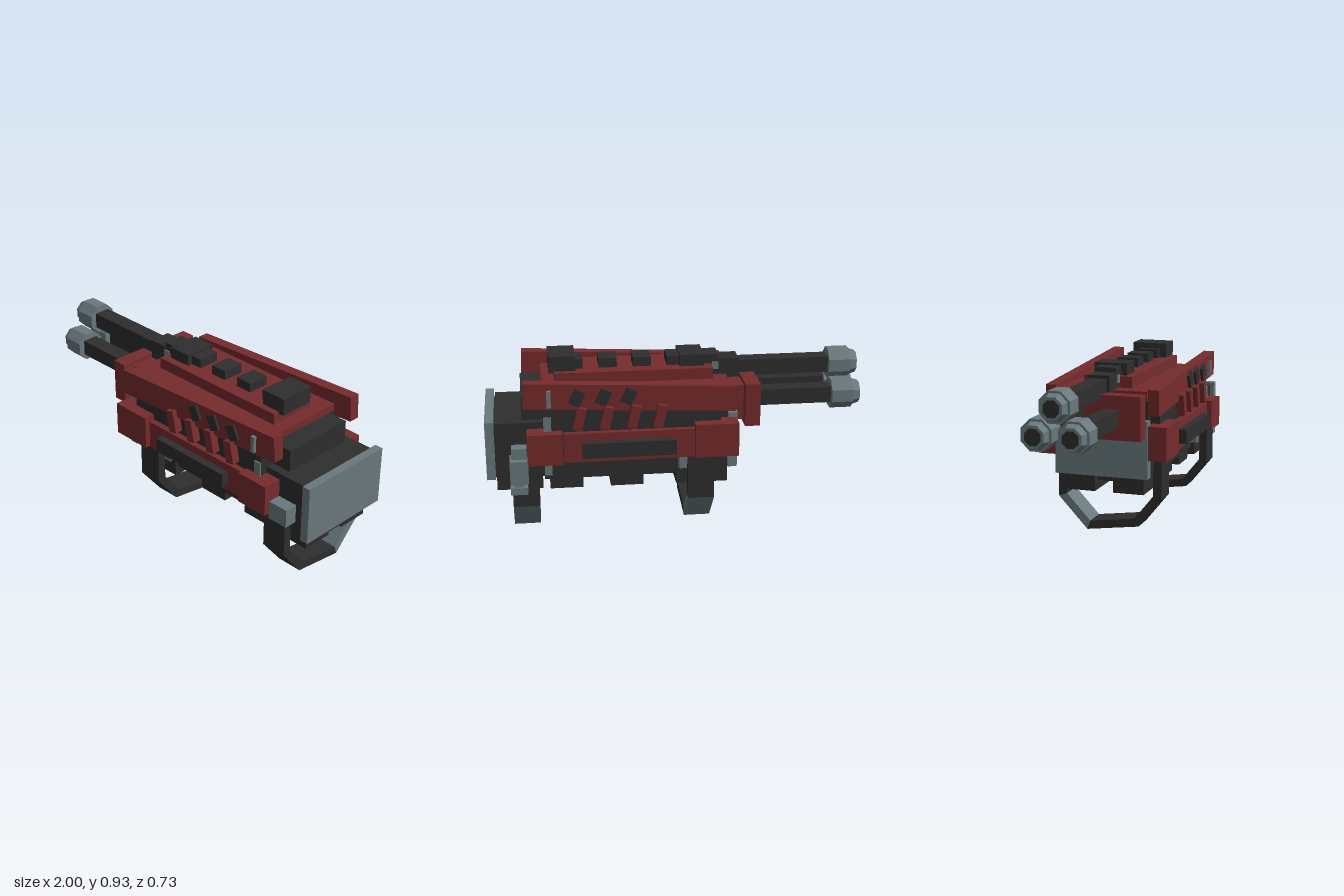
import * as THREE from 'three';

export function createModel() {
  const model = new THREE.Group();
  const mat = (name, color) => {
    const m = new THREE.MeshStandardMaterial({ color, flatShading: true });
    m.name = name;
    return m;
  };
  const dark = mat('charcoal', 0x2e2e2e);
  const red = mat('dull red', 0x762c2d);
  const grey = mat('steel grey', 0x6a797d);

  // Box from its extents on each axis
  const box = (name, m, x0, x1, y0, y1, z0, z1, tilt = 0) => {
    const mesh = new THREE.Mesh(new THREE.BoxGeometry(x1 - x0, y1 - y0, z1 - z0), m);
    mesh.position.set((x0 + x1) / 2, (y0 + y1) / 2, (z0 + z1) / 2);
    mesh.rotation.z = tilt;
    mesh.name = name;
    model.add(mesh);
    return mesh;
  };
  // The same box on both sides
  const pair = (name, m, x0, x1, y0, y1, z0, z1, tilt = 0) => {
    box(name + 'Left', m, x0, x1, y0, y1, z0, z1, tilt);
    box(name + 'Right', m, x0, x1, y0, y1, -z1, -z0, tilt);
  };

  // Three barrels with muzzles
  for (const [y, z] of [[0.815, 0], [0.675, 0.095], [0.675, -0.095]]) {
    box('barrel', dark, -0.88, -0.2, y - 0.043, y + 0.043, z - 0.045, z + 0.045);
    const prism = (name, m, r0, r1, x0, x1) => {
      const g = new THREE.CylinderGeometry(r1, r0, x1 - x0, 8);
      g.rotateY(Math.PI / 8);
      g.rotateZ(-Math.PI / 2);
      const p = new THREE.Mesh(g, m);
      p.position.set((x0 + x1) / 2, y, z);
      p.name = name;
      model.add(p);
    };
    prism('muzzleBlock', grey, 0.085, 0.085, -0.955, -0.84);
    prism('muzzleTip', grey, 0.06, 0.073, -0.997, -0.955);
    prism('bore', dark, 0.045, 0.045, -1.0, -0.99);
  }

  // Front bracket and plate
  box('frontBracket', red, -0.435, -0.355, 0.56, 0.79, -0.255, 0.255);
  box('bracketNeck', red, -0.355, -0.26, 0.58, 0.77, -0.2, 0.2);
  box('frontPlate', grey, -0.315, -0.265, 0.335, 0.64, -0.255, 0.255);

  // Main body
  box('bodyCore', dark, -0.265, 0.7, 0.43, 0.75, -0.24, 0.24);
  pair('bodySide', dark, -0.22, 0.7, 0.45, 0.75, 0.24, 0.292);
  box('topCover', red, -0.28, 0.7, 0.74, 0.79, -0.24, 0.24);
  box('topRidge', red, -0.2, 0.63, 0.79, 0.85, -0.133, 0.133);

  // Rear housing and end plate
  box('rearHousing', dark, 0.7, 0.95, 0.33, 0.63, -0.25, 0.25);
  box('rearStep', dark, 0.7, 0.81, 0.63, 0.75, -0.205, 0.205);
  box('endPlate', grey, 0.955, 1.0, 0.33, 0.645, -0.272, 0.272);
  box('endPlateSeat', dark, 0.94, 0.96, 0.36, 0.61, -0.22, 0.22);

  // Blocks along the top
  box('topCollar', dark, -0.35, -0.16, 0.77, 0.875, -0.06, 0.06);
  box('collarStep', dark, -0.24, -0.15, 0.85, 0.9, -0.058, 0.058);
  box('collarPin', grey, -0.24, -0.205, 0.82, 0.86, -0.068, 0.068);
  box('frontSight', dark, -0.16, -0.03, 0.84, 0.912, -0.09, 0.09);
  for (const [x0, x1] of [[-0.03, 0.035], [0.12, 0.215], [0.3, 0.395], [0.48, 0.56]])
    box('topStud', dark, x0, x1, 0.84, 0.9, -0.06, 0.06);
  box('rearSight', dark, 0.52, 0.66, 0.84, 0.93, -0.098, 0.098);

  // Sloping side rails with slats
  pair('sideRail', red, -0.298, 0.8, 0.696, 0.832, 0.25, 0.31, 0.05);
  for (const x of [0.26, 0.39, 0.525])
    pair('railSlat', dark, x - 0.029, x + 0.029, 0.735, 0.817, 0.3, 0.325, 0.44);
  for (const x of [0.1, 0.235, 0.375, 0.515])
    pair('sideSlat', red, x - 0.025, x + 0.025, 0.605, 0.725, 0.285, 0.336, 0.22);
  pair('railPin', grey, 0.658, 0.68, 0.73, 0.82, 0.3, 0.327);
  pair('bodyPin', grey, 0.66, 0.7, 0.58, 0.67, 0.28, 0.3);

  // Lower side armour
  pair('lowerBar', red, -0.08, 0.6, 0.43, 0.585, 0.25, 0.325);
  pair('lowerFrontBlock', red, -0.308, -0.08, 0.435, 0.615, 0.25, 0.355);
  pair('lowerRearBlock', red, 0.605, 0.787, 0.428, 0.595, 0.25, 0.352);
  pair('gripPanel', dark, 0.02, 0.505, 0.463, 0.543, 0.32, 0.367);

  // Rear side fittings, different on each side
  box('leftFitting', grey, 0.785, 0.9, 0.4, 0.5, 0.25, 0.32);
  box('rightFitting', grey, 0.785, 0.88, 0.33, 0.455, -0.355, -0.25);
  box('rightFittingCap', grey, 0.79, 0.87, 0.455, 0.512, -0.318, -0.25);
  box('rightFittingStem', grey, 0.81, 0.86, 0.3, 0.34, -0.335, -0.28);
  box('rightFittingFoot', grey, 0.79, 0.88, 0.27, 0.308, -0.348, -0.296);

  // Undercarriage
  box('underTray', dark, -0.22, 0.7, 0.29, 0.375, -0.2, 0.2);
  box('underRod', dark, -0.05, 0.7, 0.388, 0.408, -0.03, 0.03);
  box('frontSpacer', dark, 0, 0.14, 0.33, 0.44, -0.2, 0.2);
  pair('frontPost', grey, -0.05, -0.008, 0.335, 0.44, 0.19, 0.25);
  pair('rearPost', grey, 0.66, 0.7, 0.33, 0.44, 0.19, 0.25);
  box('frontMount', dark, -0.265, -0.04, 0.32, 0.44, -0.235, 0.235);
  pair('frontFoot', dark, -0.27, 0.005, 0.24, 0.33, 0.05, 0.22);
  for (const x of [0.265, 0.585])
    box('underPad', dark, x - 0.087, x + 0.087, 0.23, 0.3, -0.19, 0.19);
  pair('rearFoot', dark, 0.71, 0.95, 0.248, 0.335, 0.05, 0.22);
  box('rearUnderside', dark, 0.7, 0.98, 0.3, 0.335, -0.17, 0.17);

  // Carrying loops: one bent strip, its sloping right section grey
  const path = [[0.27, 0.47], [0.27, 0.208], [0.155, 0.064], [-0.115, 0.027], [-0.263, 0.185], [-0.263, 0.47]]
    .map(([z, y]) => new THREE.Vector2(z, y));
  const half = 0.0225;
  const normals = path.slice(1).map((p, i) => {
    const d = p.clone().sub(path[i]).normalize();
    return new THREE.Vector2(-d.y, d.x);
  });
  // Mitred offset at each bend
  const offsets = path.map((p, i) => {
    const a = normals[Math.max(i - 1, 0)], b = normals[Math.min(i, normals.length - 1)];
    const m = a.clone().add(b).normalize();
    return m.multiplyScalar(half / m.dot(a));
  });
  for (const x0 of [-0.19, 0.73]) {
    const loop = new THREE.Group();
    loop.name = 'carryLoop';
    for (let i = 0; i < 5; i++) {
      const corners = [
        path[i].clone().add(offsets[i]), path[i].clone().sub(offsets[i]),
        path[i + 1].clone().sub(offsets[i + 1]), path[i + 1].clone().add(offsets[i + 1]),
      ].map((p) => new THREE.Vector2(-p.x, p.y));
      const g = new THREE.ExtrudeGeometry(new THREE.Shape(corners), { depth: 0.14, bevelEnabled: false });
      g.rotateY(Math.PI / 2);
      const part = new THREE.Mesh(g, i === 3 ? grey : dark);
      part.position.x = x0;
      part.name = 'loopSection';
      loop.add(part);
    }
    model.add(loop);
  }
  return model;
}
